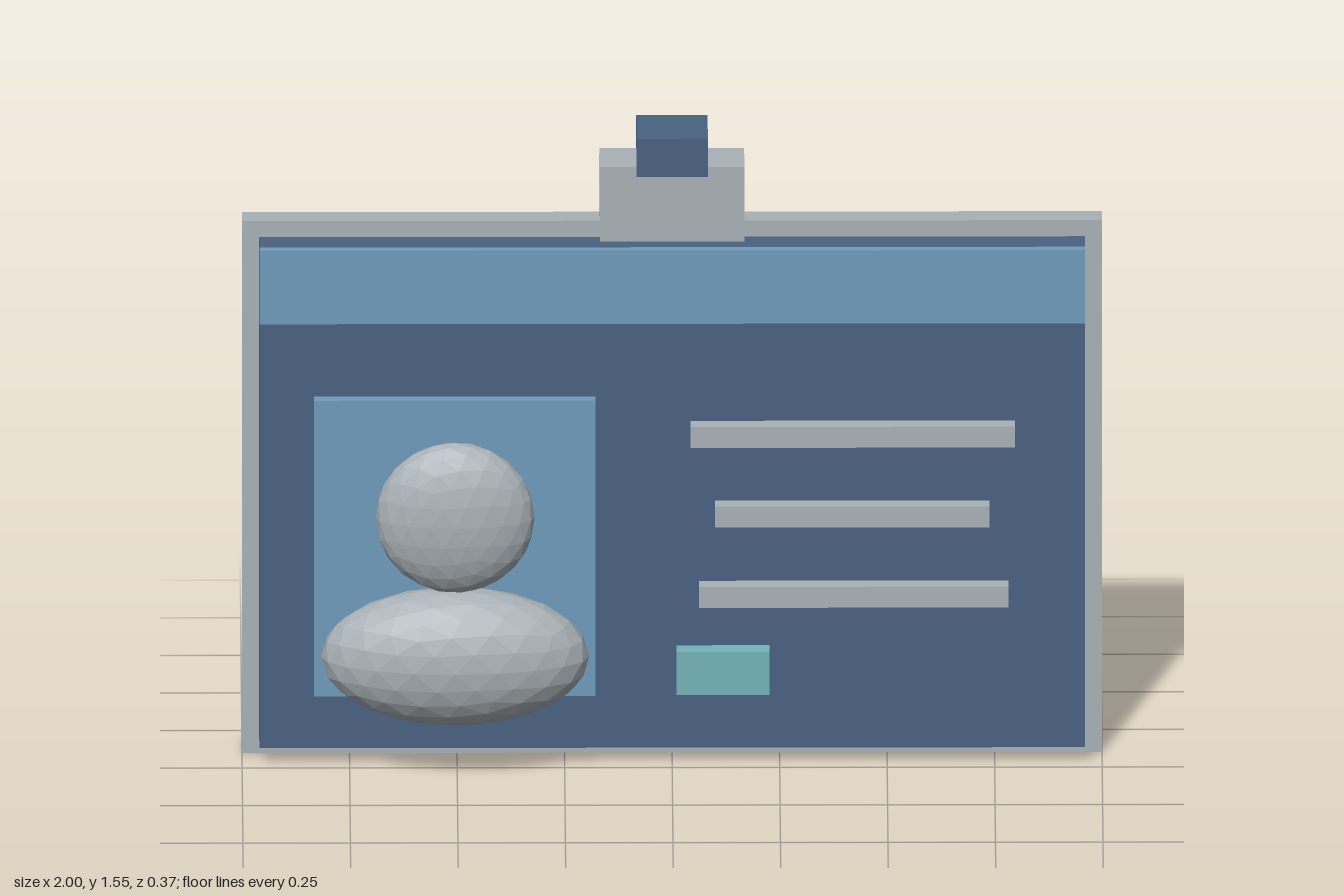
import * as THREE from 'three';

const material = (name, color) => {
  const m = new THREE.MeshStandardMaterial({ color });
  m.name = name;
  return m;
};

export function createModel() {
  const navy = material('navy', 0x4a6282);
  const sky = material('sky blue', 0x6f9cbd);
  const silver = material('silver grey', 0xaab2b7);
  const teal = material('teal', 0x74b4b8);
  const facetedSilver = silver;

  const model = new THREE.Group();
  model.name = 'identityCard';

  const add = (name, geometry, mat) => {
    const mesh = new THREE.Mesh(geometry, mat);
    mesh.name = name;
    model.add(mesh);
    return mesh;
  };

  // Box given by its limits on each axis
  const slab = (name, mat, [x0, x1], [y0, y1], [z0, z1]) =>
    add(name, new THREE.BoxGeometry(x1 - x0, y1 - y0, z1 - z0), mat)
      .position.set((x0 + x1) / 2, (y0 + y1) / 2, (z0 + z1) / 2);

  // Faceted ellipsoid with a vertex at the top; unindexed, so its normals are flat
  const pebble = (name, mat, centre, radii) => {
    const g = new THREE.IcosahedronGeometry(1, 3);
    g.rotateZ(Math.atan(2 / (1 + Math.sqrt(5))));
    g.scale(...radii);
    g.computeVertexNormals();
    add(name, g, mat).position.set(...centre);
  };

  const cardFront = -0.025;

  // Card with its rim and header band
  slab('rim', silver, [-1, 1], [0, 1.32], [-0.16, -0.1]);
  slab('card', navy, [-0.96, 0.96], [0.04, 1.28], [-0.17, cardFront]);
  slab('headerBand', sky, [-0.96, 0.96], [1.1, 1.282], [cardFront, -0.003]);

  // Portrait
  slab('photoPanel', sky, [-0.833, -0.178], [0.178, 0.912], [cardFront, 0.002]);
  pebble('head', facetedSilver, [-0.505, 0.645, 0.065], [0.185, 0.185, 0.075]);
  pebble('shoulders', facetedSilver, [-0.505, 0.3, 0.062], [0.312, 0.167, 0.125]);

  // Text bars and badge
  [[0.043, 0.797, 0.825], [0.1, 0.738, 0.627], [0.062, 0.782, 0.428]].forEach(([x0, x1, y], i) =>
    slab(`textBar${i + 1}`, silver, [x0, x1], [y - 0.026, y + 0.026], [cardFront, 0.016]));
  slab('badge', teal, [0.01, 0.226], [0.187, 0.294], [cardFront, 0.02]);

  // Clip on the top edge
  slab('clipBase', silver, [-0.168, 0.168], [1.29, 1.475], [-0.168, -0.041]);
  slab('clipTab', navy, [-0.083, 0.083], [1.455, 1.55], [-0.186, -0.028]);

  return model;
}
